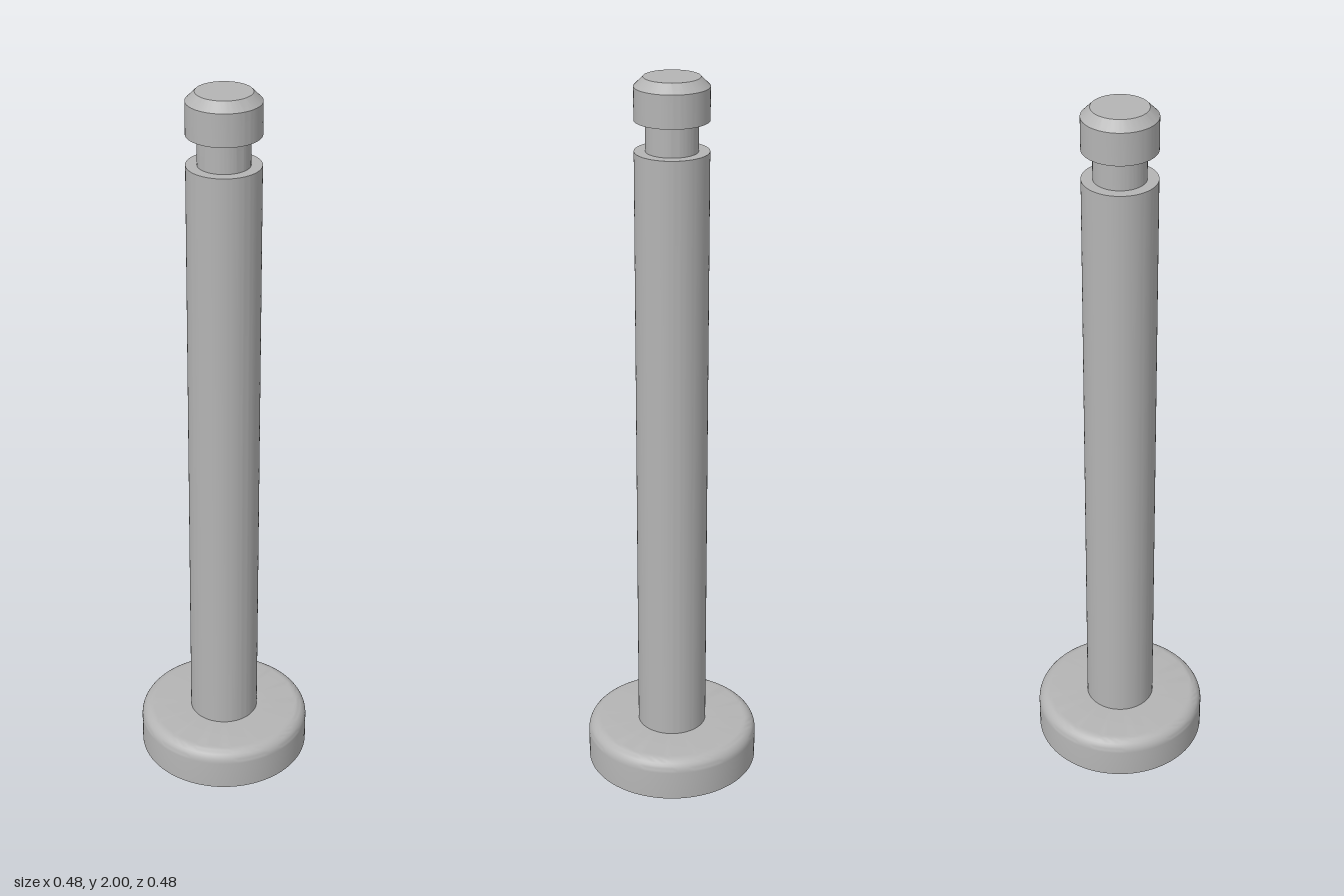
import * as THREE from 'three';
import { toCreasedNormals } from 'three/addons/utils/BufferGeometryUtils.js';

const steel = new THREE.MeshStandardMaterial({ color: 0xb4b4b4 });
steel.name = 'steel';

// Turned part from [radius, height] pairs, bottom to top
function turned(name, profile) {
  const points = profile.map(([r, y]) => new THREE.Vector2(r, y));
  const geometry = toCreasedNormals(new THREE.LatheGeometry(points, 96), Math.PI / 6);
  const mesh = new THREE.Mesh(geometry, steel);
  mesh.name = name;
  return mesh;
}

export function createModel() {
  const pin = new THREE.Group();
  pin.name = 'clevisPin';

  const headRadius = 0.242, headTop = 0.121, fillet = 0.036;
  const shaftRadius = 0.097, grooveRadius = 0.068;
  const grooveBottom = 1.81, grooveTop = 1.89;

  // Flat head with a rounded upper rim
  const head = [[0, 0], [headRadius, 0]];
  for (let i = 0; i <= 8; i++) {
    const a = (i / 8) * Math.PI / 2;
    head.push([headRadius - fillet + fillet * Math.cos(a), headTop - fillet + fillet * Math.sin(a)]);
  }
  head.push([shaftRadius, headTop]);
  pin.add(turned('head', head));

  // Long plain shaft ending in the groove's lower shoulder
  pin.add(turned('shaft', [[shaftRadius, headTop], [shaftRadius, grooveBottom], [grooveRadius, grooveBottom]]));

  // Retaining groove
  pin.add(turned('groove', [[grooveRadius, grooveBottom], [grooveRadius, grooveTop]]));

  // Chamfered tip
  pin.add(turned('tip', [
    [grooveRadius, grooveTop], [shaftRadius, grooveTop], [shaftRadius, 1.976], [0.073, 2], [0, 2],
  ]));

  return pin;
}
